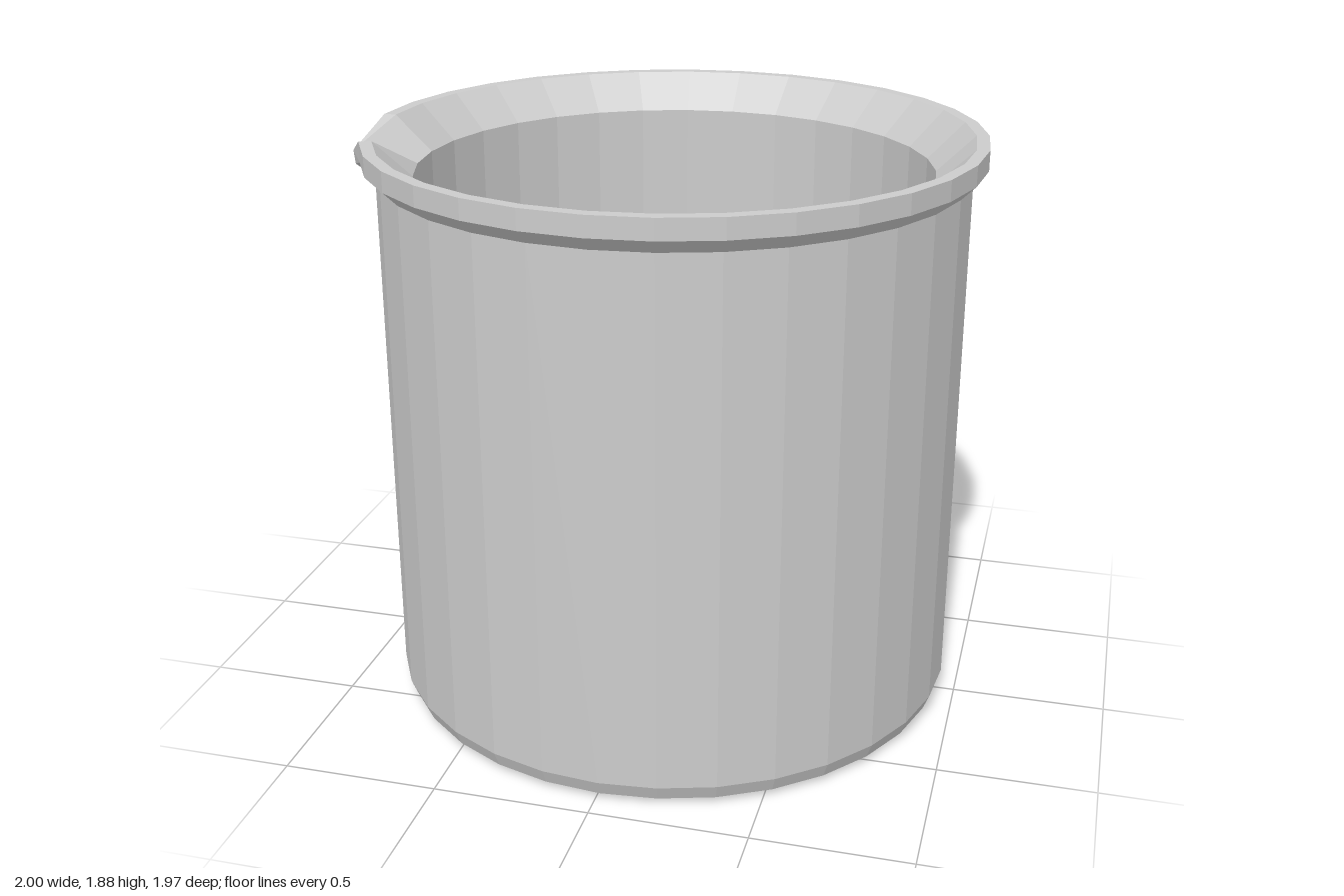
import * as THREE from 'three';

const SIDES = 32;
const SPOUT_COLUMN = 25; // profile column that is pulled out into the spout

// [radius, height] from the centre of the base, up the outside, over the lip, down to the floor
const PROFILE = [
  [0, 0], [0.87, 0], [0.92, 0.02], [0.94, 0.07], [0.94, 1.77],
  [0.985, 1.815], [0.985, 1.88], [0.945, 1.88],
  [0.825, 1.765], [0.825, 0.07], [0, 0.07],
];

// Replacement [radius, height] for the spout column, by profile index
const SPOUT = {
  4: [0.94, 1.75],
  5: [1.025, 1.76],
  6: [1.03, 1.805],
  7: [1.029, 1.805],
};

export function createModel() {
  const group = new THREE.Group();
  group.name = 'beaker';

  // Thick-walled vessel with a flared rim
  const points = PROFILE.map(([r, y]) => new THREE.Vector2(r, y));
  const geometry = new THREE.LatheGeometry(points, SIDES);

  // Pull one column of the rim outward and down into a pouring spout
  const pos = geometry.attributes.position;
  const angle = (SPOUT_COLUMN / SIDES) * Math.PI * 2;
  for (const [index, [r, y]] of Object.entries(SPOUT)) {
    const i = SPOUT_COLUMN * PROFILE.length + Number(index);
    pos.setXYZ(i, r * Math.sin(angle), y, r * Math.cos(angle));
  }
  geometry.translate(0.013, 0, 0);
  geometry.computeVertexNormals();

  const vessel = new THREE.Mesh(
    geometry,
    new THREE.MeshStandardMaterial({ color: 0xcccccc, flatShading: true })
  );
  vessel.name = 'vesselWithSpout';
  group.add(vessel);
  return group;
}
